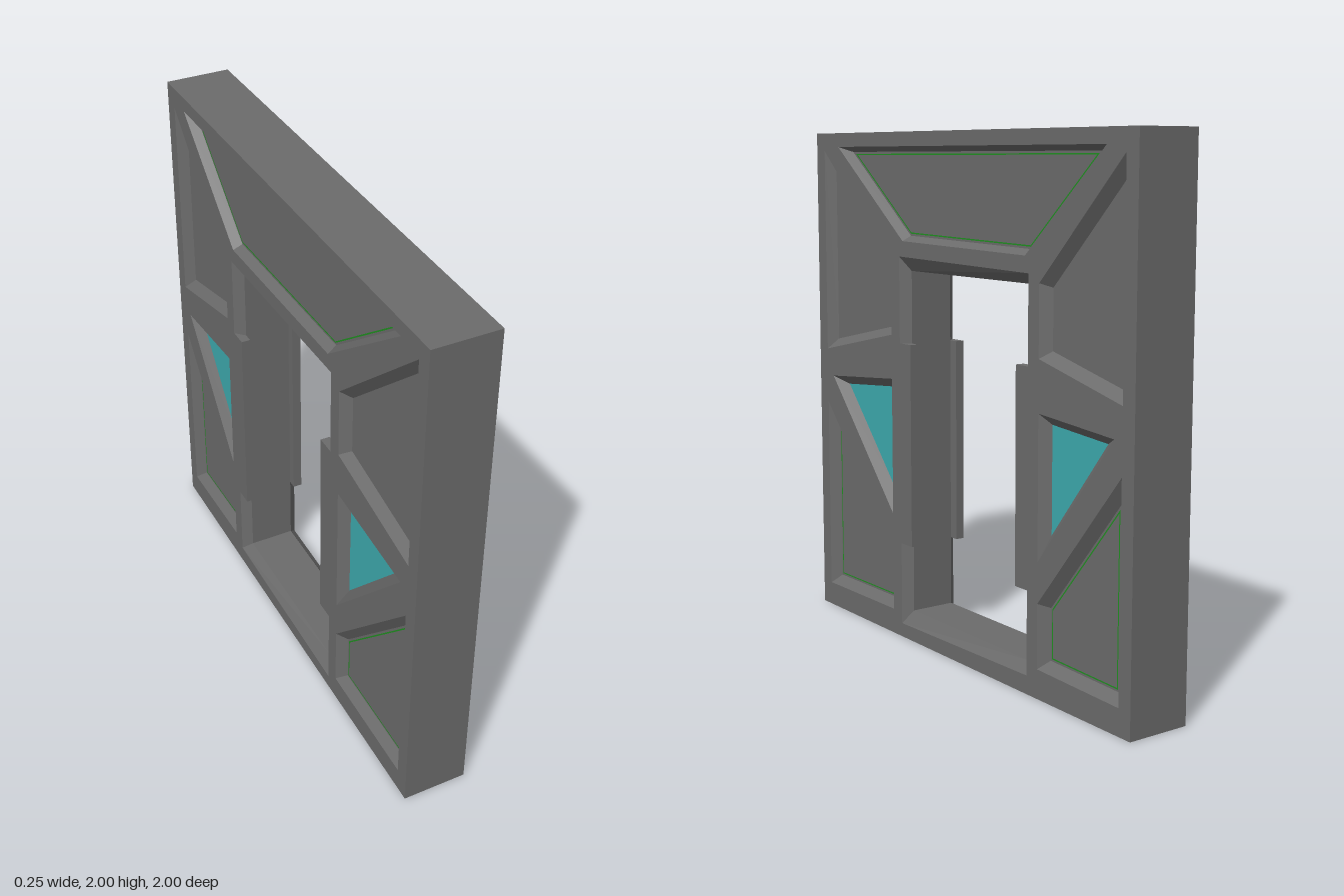
import * as THREE from 'three';
import { mergeGeometries } from 'three/addons/utils/BufferGeometryUtils.js';

const FACE = 0.125; // half thickness of the wall
const FLOOR = 0.09; // height of the recessed panel floors

// Outlines as [z, y]
const SQUARE = [[1, 0], [-1, 0], [-1, 2], [1, 2]];
const OPENING = [[0.38, 0.055], [-0.44, 0.07], [-0.44, 1.51], [0.38, 1.525]];
const DOORWAY = [[0.345, 0.11], [-0.405, 0.11], [-0.405, 1.47], [0.345, 1.47]];
const PANELS = [
  { name: 'upperPanel', pts: [[0.94, 1.93], [0.94, 1.11], [0.44, 1.215], [0.44, 1.485]] },
  { name: 'upperPanel', pts: [[-0.94, 1.92], [-0.5, 1.48], [-0.5, 1.22], [-0.94, 1.115]] },
  { name: 'window', glass: true, pts: [[0.895, 1.0], [0.44, 0.495], [0.44, 1.04]] },
  { name: 'window', glass: true, pts: [[-0.9, 1.0], [-0.5, 1.03], [-0.5, 0.5]] },
  { name: 'lowerPanel', trim: true, pts: [[0.94, 0.885], [0.94, 0.095], [0.44, 0.1], [0.44, 0.345]] },
  { name: 'lowerPanel', trim: true, pts: [[-0.94, 0.88], [-0.5, 0.35], [-0.5, 0.11], [-0.94, 0.1]] },
  { name: 'topPanel', trim: true, inset: 0.02, pts: [[0.83, 1.945], [0.355, 1.585], [-0.42, 1.57], [-0.845, 1.945]] },
];

// Outline in face coordinates, wound counter-clockwise, for side s (+1 or -1)
function outline(pts, s) {
  const p = pts.map(([z, y]) => new THREE.Vector2(-s * z, y));
  return THREE.ShapeUtils.area(p) < 0 ? p.reverse() : p;
}

// Moves every edge of a convex outline inward by d
function inset(p, d) {
  return p.map((c, i) => {
    const n = p.length;
    const a = c.clone().sub(p[(i + n - 1) % n]).normalize();
    const b = p[(i + 1) % n].clone().sub(c).normalize();
    const na = new THREE.Vector2(-a.y, a.x), nb = new THREE.Vector2(-b.y, b.x);
    return c.clone().addScaledVector(na.clone().add(nb), d / (1 + na.dot(nb)));
  });
}

// Band of flat quads joining outline p at height wp to outline q at height wq
function band(p, wp, q, wq) {
  const v = [];
  p.forEach((a, i) => {
    const j = (i + 1) % p.length, b = p[j], c = q[j], d = q[i];
    v.push(a.x, a.y, wp, b.x, b.y, wp, c.x, c.y, wq);
    v.push(a.x, a.y, wp, c.x, c.y, wq, d.x, d.y, wq);
  });
  const g = new THREE.BufferGeometry();
  g.setAttribute('position', new THREE.Float32BufferAttribute(v, 3));
  g.computeVertexNormals();
  return g;
}

// Flat sheet with optional holes
function sheet(p, w, holes = []) {
  const shape = new THREE.Shape(p);
  shape.holes = holes.map(h => new THREE.Path(h));
  const g = new THREE.ShapeGeometry(shape).toNonIndexed().translate(0, 0, w);
  g.deleteAttribute('uv');
  return g;
}

export function createModel() {
  const material = (name, color) => Object.assign(new THREE.MeshStandardMaterial({ color }), { name });
  const grey = material('grey metal', 0x6b6b6b);
  const teal = material('teal glass', 0x3daaae);
  const green = material('green trim', 0x1f9020);
  const model = new THREE.Group();
  model.name = 'doorFrameWall';

  for (const s of [1, -1]) {
    const side = new THREE.Group();
    side.name = s > 0 ? 'leftSide' : 'rightSide';
    model.add(side);
    const add = (name, g, mat) => {
      const m = new THREE.Mesh(g.rotateY(s * Math.PI / 2), mat);
      m.name = name;
      side.add(m);
    };

    // Face plate, outer edges and doorway
    const square = outline(SQUARE, s), opening = outline(OPENING, s), doorway = outline(DOORWAY, s);
    const rim = square.slice().reverse();
    const holes = PANELS.map(p => outline(p.pts, s));
    add('frame', mergeGeometries([
      sheet(square, FACE, [opening, ...holes]),
      band(rim, FACE, rim, 0),
    ]), grey);
    add('doorway', mergeGeometries([
      band(opening, FACE, doorway, FLOOR),
      band(doorway, FLOOR, doorway, 0),
    ]), grey);

    // Sunken panels and windows with sloped edges
    PANELS.forEach((panel, i) => {
      const inner = inset(holes[i], panel.inset ?? 0.035);
      add(panel.name + 'Bevel', band(holes[i], FACE, inner, FLOOR), grey);
      add(panel.name, sheet(inner, FLOOR), panel.glass ? teal : grey);
      if (panel.trim) {
        const a = inset(inner, 0.008), b = inset(inner, 0.013);
        add(panel.name + 'Trim', band(a, FLOOR + 0.001, b, FLOOR + 0.001), green);
      }
    });

    // Guide plates jutting into the doorway
    for (const [z0, z1] of [[0.305, 0.38], [-0.44, -0.37]]) {
      const g = new THREE.BoxGeometry(z1 - z0, 0.802, FACE - FLOOR);
      add('guidePlate', g.translate(-s * (z0 + z1) / 2, 0.786, (FACE + FLOOR) / 2), grey);
    }
  }
  return model;
}
